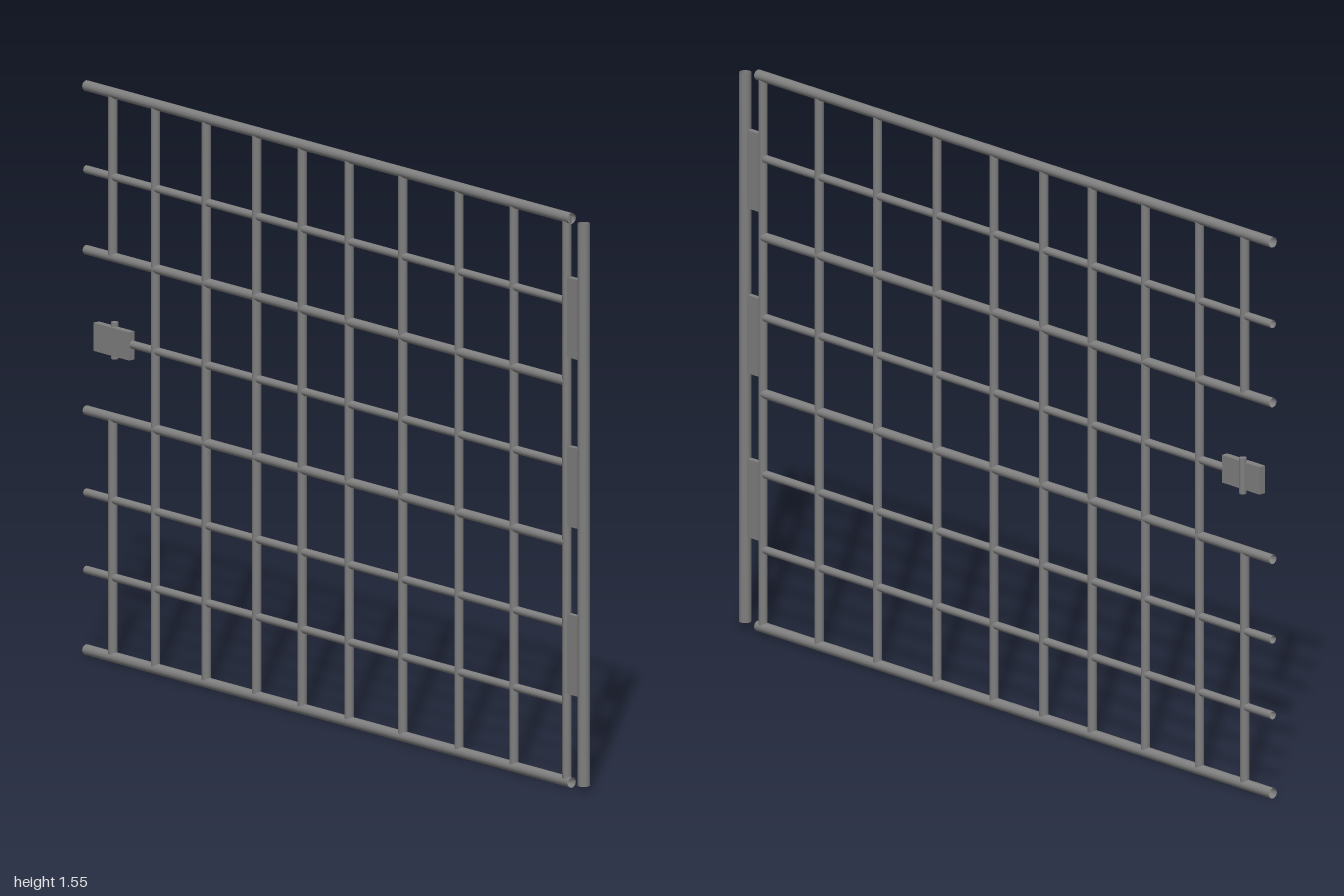
import * as THREE from 'three';

export function createModel() {
  const model = new THREE.Group();
  model.name = 'gate';
  const steel = new THREE.MeshStandardMaterial({ color: 0x808080, side: THREE.DoubleSide });
  steel.name = 'grey steel';

  // Open tube, upright from y0 to y1
  const upright = (name, x, y0, y1, r, z = 0, open = true) => {
    const mesh = new THREE.Mesh(new THREE.CylinderGeometry(r, r, y1 - y0, 12, 1, open), steel);
    mesh.position.set(x, (y0 + y1) / 2, z);
    mesh.name = name;
    model.add(mesh);
  };

  // Open tube, lying from x0 to x1
  const rail = (name, y, x0, x1, r) => {
    const geometry = new THREE.CylinderGeometry(r, r, x1 - x0, 12, 1, true).rotateZ(Math.PI / 2);
    const mesh = new THREE.Mesh(geometry, steel);
    mesh.position.set((x0 + x1) / 2, y, 0);
    mesh.name = name;
    model.add(mesh);
  };

  const plate = (name, x0, x1, y0, y1, depth, z = 0) => {
    const mesh = new THREE.Mesh(new THREE.BoxGeometry(x1 - x0, y1 - y0, depth), steel);
    mesh.position.set((x0 + x1) / 2, (y0 + y1) / 2, z);
    mesh.name = name;
    model.add(mesh);
  };

  // Horizontal rails
  rail('topRail', 1.537, -1, 0.935, 0.0145);
  rail('bottomRail', 0.0145, -1, 0.935, 0.0145);
  for (const [y, r] of [[1.311, 0.011], [1.094, 0.013], [0.661, 0.013], [0.439, 0.011], [0.23, 0.011]]) {
    rail('crossRail', y, -1, 0.916, r);
  }
  rail('latchRail', 0.872, -0.82, 0.916, 0.011);

  // Vertical bars, the outermost one interrupted around the latch
  for (const x of [-0.724, -0.521, -0.321, -0.139, 0.048, 0.262, 0.486, 0.705, 0.916]) {
    upright('verticalBar', x, 0.015, 1.537, 0.0125);
  }
  upright('upperShortBar', -0.894, 1.094, 1.537, 0.0125);
  upright('lowerShortBar', -0.894, 0.015, 0.661, 0.0125);

  // Hinge post and its three plates
  upright('hingePost', 0.983, 0.015, 1.533, 0.0165);
  for (const y of [1.27, 0.814, 0.361]) {
    plate('hingePlate', 0.92, 0.98, y - 0.108, y + 0.108, 0.015);
  }

  // Latch box with its pin
  plate('latchPlate', -0.957, -0.815, 0.831, 0.907, 0.02, 0.003);
  upright('latchPin', -0.892, 0.819, 0.918, 0.01, -0.005, false);

  return model;
}
